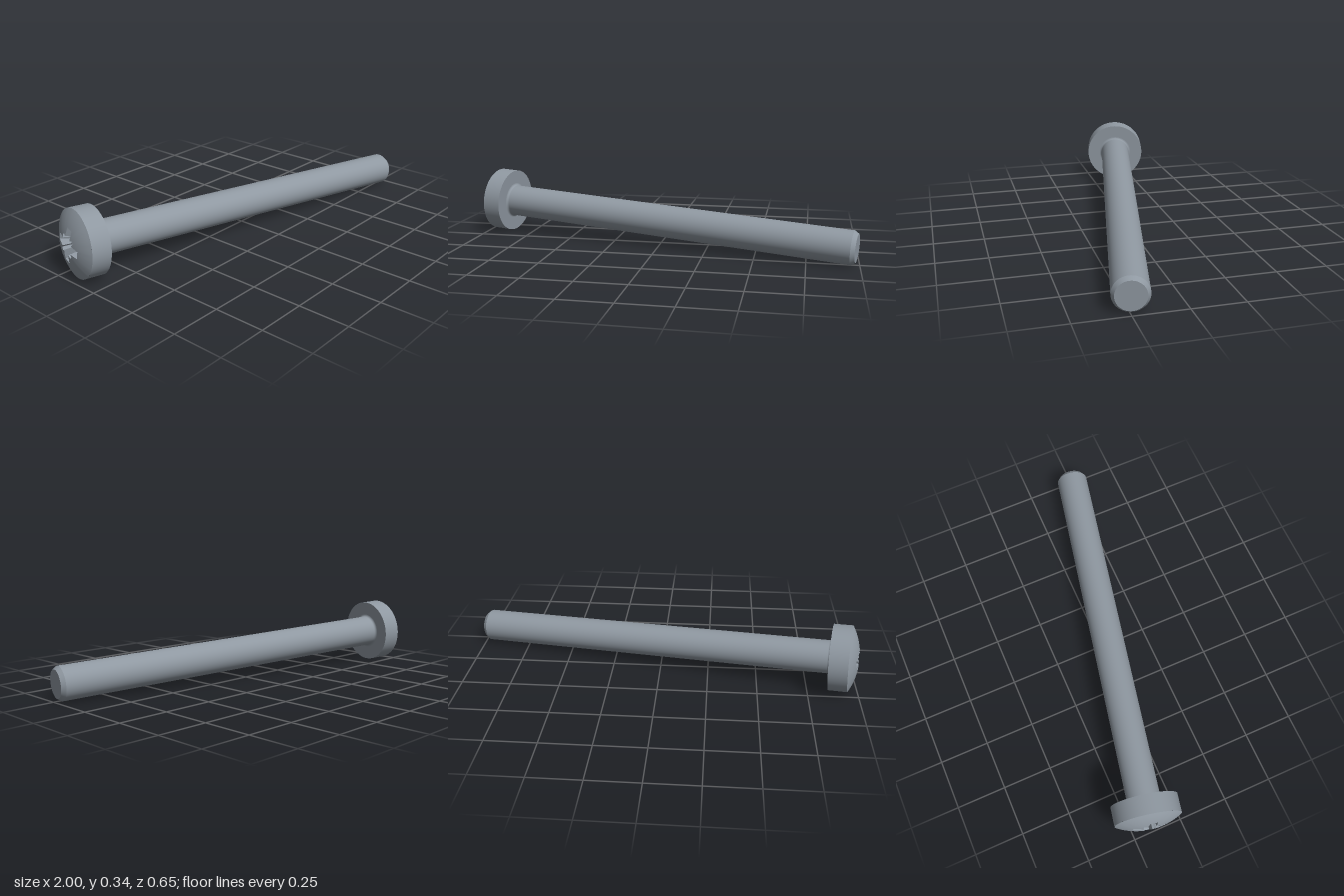
import * as THREE from 'three';

const HEAD_R = 0.166, RIM = 0.094, DOME = 0.044, SHAFT_R = 0.083, TIP_R = 0.069, CHAMFER = 0.02;

export function createModel() {
  const steel = new THREE.MeshStandardMaterial({ color: 0x8f98a1 });
  steel.name = 'steel grey';

  const screw = new THREE.Group();
  screw.name = 'screw';
  const add = (name, geometry) => {
    const mesh = new THREE.Mesh(geometry, steel);
    mesh.name = name;
    screw.add(mesh);
  };
  const lathe = (name, points) =>
    add(name, new THREE.LatheGeometry(points.map(([r, y]) => new THREE.Vector2(r, y)), 64));

  // The screw lies along its local y axis: head underside at 0, tip at `length`
  const base = new THREE.Vector3(-0.861, 0.169, -0.146);
  const tip = new THREE.Vector3(0.985, 0.084, 0.2495);
  const length = base.distanceTo(tip);

  // Head side and underside
  lathe('headRim', [[HEAD_R, -RIM], [HEAD_R, 0]]);
  lathe('headUnderside', [[HEAD_R, 0], [SHAFT_R + 0.012, 0]]);

  // Shaft with a small fillet under the head
  const fillet = [];
  for (let i = 0; i <= 5; i++) {
    const a = (i / 5) * Math.PI / 2;
    fillet.push([SHAFT_R + 0.012 * (1 - Math.sin(a)), 0.012 * (1 - Math.cos(a))]);
  }
  lathe('shaft', [...fillet, [SHAFT_R, length - CHAMFER]]);
  lathe('tipChamfer', [[SHAFT_R, length - CHAMFER], [TIP_R, length]]);
  lathe('tipFace', [[TIP_R, length], [0, length]]);

  // Star outline of the driver recess: four wings with small notches between
  const star = (wing, width, inner, notch) => {
    const quarter = [[wing, -width], [wing, width], [inner, width * 1.15],
      [notch, notch * 0.76], [notch * 0.76, notch], [width * 1.15, inner]];
    const corners = [];
    for (let q = 0; q < 4; q++) {
      const c = Math.round(Math.cos(q * Math.PI / 2)), s = Math.round(Math.sin(q * Math.PI / 2));
      for (const [x, z] of quarter) corners.push([x * c - z * s, x * s + z * c]);
    }
    const out = [];
    corners.forEach(([x, z], i) => {
      const [nx, nz] = corners[(i + 1) % corners.length];
      for (let k = 0; k < 4; k++) out.push([x + (nx - x) * k / 4, z + (nz - z) * k / 4]);
    });
    return out;
  };

  // Skin between closed rings, ordered from outer to inner
  const loft = (rings, flat) => {
    const n = rings[0].length, index = [];
    for (let i = 0; i < rings.length - 1; i++) {
      for (let j = 0; j < n; j++) {
        const a = i * n + j, b = i * n + (j + 1) % n;
        index.push(a, b, a + n, b, b + n, a + n);
      }
    }
    let g = new THREE.BufferGeometry();
    g.setAttribute('position', new THREE.Float32BufferAttribute(rings.flat(2), 3));
    g.setIndex(index);
    if (flat) g = g.toNonIndexed();
    g.computeVertexNormals();
    return g;
  };

  // Domed head top, pierced by the star
  const R = (HEAD_R ** 2 + DOME ** 2) / (2 * DOME);
  const domeY = (x, z) => -RIM - (Math.sqrt(R * R - x * x - z * z) - (R - DOME));
  const mouth = star(0.085, 0.019, 0.038, 0.047);
  const domeRings = [];
  for (let i = 0; i <= 8; i++) {
    domeRings.push(mouth.map(([x, z]) => {
      const r = Math.hypot(x, z);
      const k = (HEAD_R + (r - HEAD_R) * i / 8) / r;
      return [x * k, domeY(x * k, z * k), z * k];
    }));
  }
  add('headDome', loft(domeRings));

  // Tapered recess walls and floor
  const floorY = -RIM + 0.045;
  const floor = star(0.05, 0.013, 0.026, 0.028).map(([x, z]) => [x, floorY, z]);
  add('recessWalls', loft([domeRings[8], floor], true));
  add('recessFloor', loft([floor, floor.map(() => [0, floorY + 0.01, 0])], true));

  // Lay the screw in its slanted resting pose
  screw.position.copy(base);
  screw.quaternion.setFromUnitVectors(new THREE.Vector3(0, 1, 0), tip.clone().sub(base).normalize());

  const model = new THREE.Group();
  model.name = 'machineScrew';
  model.add(screw);
  return model;
}
